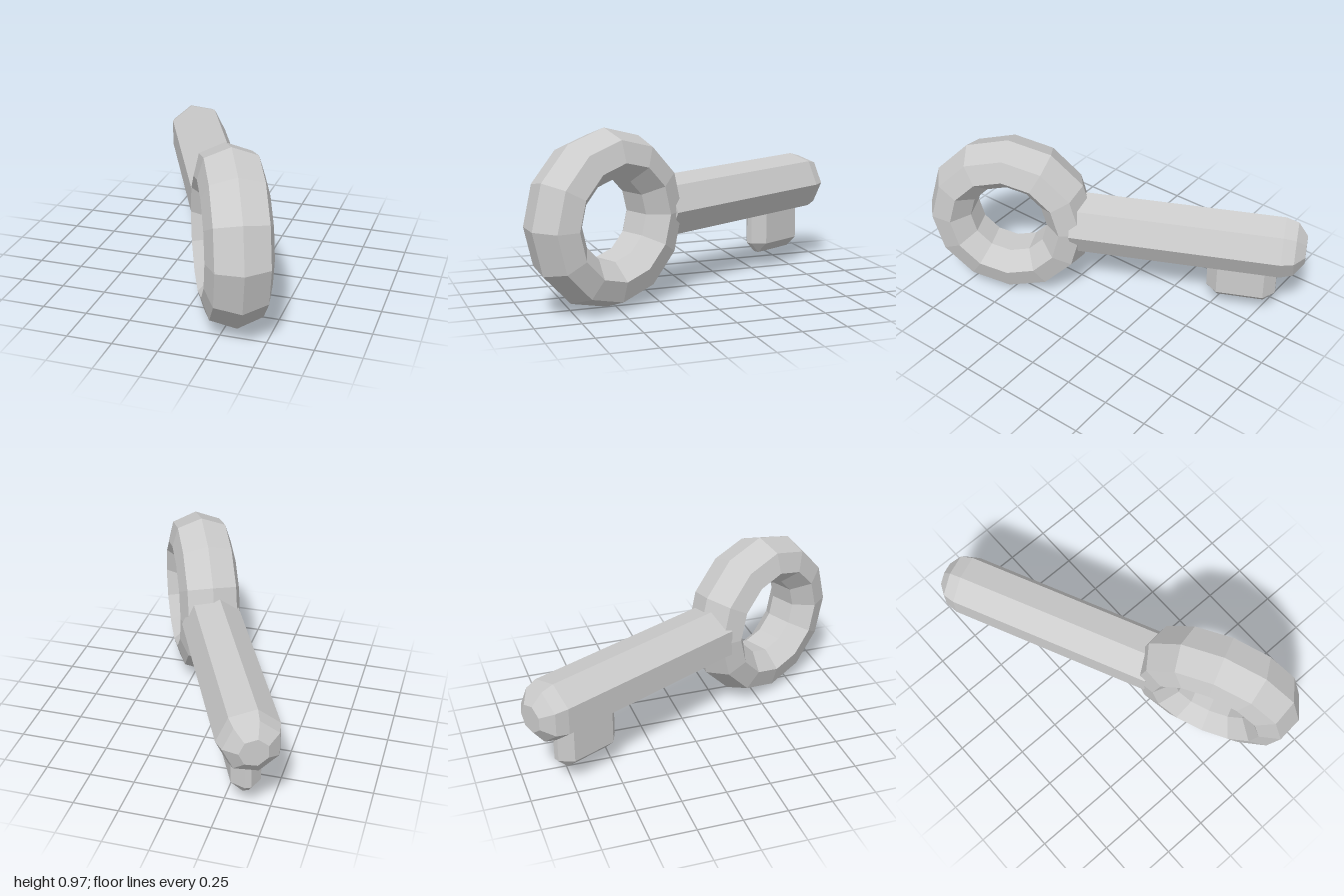
import * as THREE from 'three';
import { ConvexGeometry } from 'three/addons/geometries/ConvexGeometry.js';

const material = new THREE.MeshStandardMaterial({ color: 0xcccccc, flatShading: true });

function part(name, geometry) {
  const mesh = new THREE.Mesh(geometry, material);
  mesh.name = name;
  return mesh;
}

// Box with every edge cut by the same chamfer
function chamferedBox(a, b, c, cut) {
  const points = [];
  for (const x of [-1, 1]) for (const y of [-1, 1]) for (const z of [-1, 1]) {
    points.push(
      new THREE.Vector3(x * a, y * (b - cut), z * (c - cut)),
      new THREE.Vector3(x * (a - cut), y * b, z * (c - cut)),
      new THREE.Vector3(x * (a - cut), y * (b - cut), z * c)
    );
  }
  return new ConvexGeometry(points);
}

export function createModel() {
  const model = new THREE.Group();
  model.name = 'key';

  // The key is built along x with the ring's centre at the origin, then turned
  const key = new THREE.Group();
  key.name = 'keyBody';
  key.position.set(0.246, 0.483, 0.55);
  key.rotation.y = THREE.MathUtils.degToRad(-65);
  model.add(key);

  // Ring handle: seven-sided tube, thicker sideways than radially
  const ring = new THREE.TorusGeometry(0.346, 0.137, 7, 12);
  ring.scale(1, 1, 1.31);
  key.add(part('ringHandle', ring));

  // Seven-sided shaft with a rounded tip
  const profile = [
    [0, 0.37], [0.174, 0.37], [0.174, 1.545], [0.153, 1.615], [0.08, 1.67], [0, 1.67]
  ].map(([r, y]) => new THREE.Vector2(r, y));
  const shaft = new THREE.LatheGeometry(profile, 7, Math.PI);
  shaft.rotateZ(Math.PI / 2);
  key.add(part('shaft', shaft));

  // Tooth under the tip end, sunk into the shaft
  const tooth = part('tooth', chamferedBox(0.195, 0.19, 0.08, 0.063));
  tooth.position.set(-1.329, -0.198, 0);
  key.add(tooth);

  return model;
}
